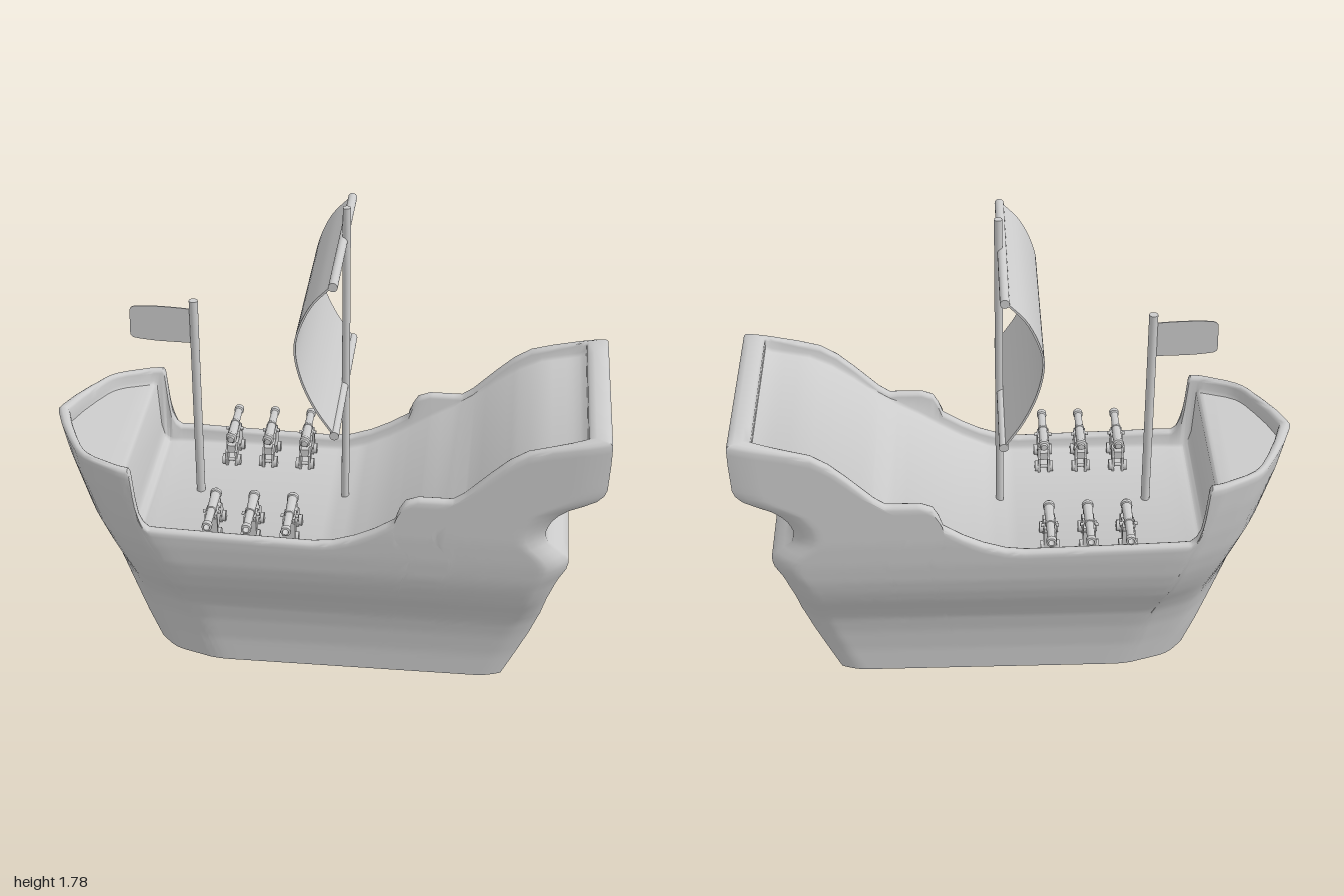
import * as THREE from 'three';
import { toCreasedNormals } from 'three/addons/utils/BufferGeometryUtils.js';

const material = new THREE.MeshStandardMaterial({ color: 0xcccccc });

// Piecewise-linear lookup through [input, output] pairs
function lookup(table) {
  return (v) => {
    if (v <= table[0][0]) return table[0][1];
    for (let i = 1; i < table.length; i++) {
      const [a, p] = table[i - 1], [b, q] = table[i];
      if (v <= b) return p + (q - p) * (v - a) / (b - a);
    }
    return table[table.length - 1][1];
  };
}

// Bow and stern outlines, x by height
const bowX = lookup([[0, -0.63], [0.1, -0.68], [0.2, -0.73], [0.4, -0.825], [0.6, -0.91], [0.8, -0.97], [0.935, -1]]);
const sternX = lookup([[0, 0.67], [0.1, 0.72], [0.2, 0.765], [0.3, 0.8], [0.4, 0.82], [0.5, 0.85], [0.57, 0.885],
  [0.61, 0.885], [0.65, 0.85], [0.69, 0.805], [0.73, 0.795], [0.78, 0.81], [0.83, 0.85], [0.87, 0.93], [0.9, 0.98], [0.94, 0.995], [1.05, 1]]);
// Half width by height, and its narrowing behind the bow
const halfWidth = lookup([[0, 0.24], [0.1, 0.243], [0.2, 0.255], [0.28, 0.272], [0.34, 0.298], [0.4, 0.33], [0.46, 0.35],
  [0.52, 0.364], [0.6, 0.373], [0.7, 0.378], [1.13, 0.374]]);
const bowFullness = lookup([[0, 0], [0.01, 0.1], [0.035, 0.27], [0.075, 0.49], [0.115, 0.68], [0.14, 0.765], [0.17, 0.825],
  [0.22, 0.89], [0.28, 0.97], [0.31, 0.99], [0.34, 1]]);
// Blunt foot of the bow, and rounded corners of the stern
const bowBlunt = lookup([[0, 0.075], [0.1, 0.06], [0.2, 0.035], [0.4, 0]]);
const sternInset = lookup([[0, 0.1], [0.2, 0.15], [0.4, 0.18], [0.6, 0.17], [0.75, 0.1], [0.9, 0.03], [1.13, 0.02]]);
// Rail and deck heights along the ship
const railTable = [[-1, 0.935], [-0.9, 0.922], [-0.672, 0.912], [-0.665, 0.9], [-0.655, 0.79], [-0.645, 0.72],
  [-0.63, 0.685], [-0.61, 0.667], [-0.4, 0.66], [-0.02, 0.65], [0.05, 0.658], [0.13, 0.685], [0.2, 0.72], [0.27, 0.765],
  [0.285, 0.81], [0.305, 0.845], [0.35, 0.862], [0.47, 0.862], [0.51, 0.89], [0.6, 0.98], [0.66, 1.035], [0.72, 1.073], [0.8, 1.095], [1, 1.132]];
const deckTable = [[-1, 0.87], [-0.705, 0.857], [-0.695, 0.845], [-0.685, 0.66], [-0.675, 0.62], [-0.655, 0.603], [0.02, 0.605],
  [0.1, 0.625], [0.2, 0.672], [0.28, 0.722], [0.36, 0.775], [0.44, 0.82], [0.52, 0.875], [0.6, 0.942], [0.68, 1.0], [0.76, 1.04],
  [0.86, 1.06], [0.9, 1.07], [0.92, 1.085]];
const rail = lookup(railTable), deck = lookup(deckTable);

function planHalf(x, y) {
  const fromStern = sternX(y) - x;
  const corner = Math.max(0, 1 - fromStern / 0.1) ** 2;
  return halfWidth(y) * bowFullness(x - bowX(y) + bowBlunt(y)) * (1 - sternInset(y) * corner);
}

function hullGeometry() {
  // Stations: every bend of rail and deck, plus regular steps
  const wanted = [...railTable, ...deckTable].map((p) => p[0]);
  for (let x = -1; x <= 1.001; x += 0.04) wanted.push(x);
  wanted.push(-0.99, -0.965, -0.94, -0.86, 0.98, 0.99);
  wanted.sort((a, b) => a - b);
  const stations = wanted.filter((x, i) => x <= 1 && (i === 0 || x - wanted[i - 1] > 0.003));
  stations[stations.length - 1] = 1;

  // One station: up the outside, over the rounded rail, down to the deck
  const rows = 44;
  const column = (x0) => {
    const top = rail(x0), edge = top - 0.014, points = [];
    const s1 = (x0 - bowX(edge)) / (sternX(edge) - bowX(edge)), s0 = (x0 + 1) / 2;
    for (let r = 0; r <= rows; r++) {
      const v = r / rows, y = edge * v;
      const s = THREE.MathUtils.clamp(s0 + (s1 - s0) * v, 0, 1);
      const x = bowX(y) + (sternX(y) - bowX(y)) * s;
      points.push([x, y, planHalf(x, y)]);
    }
    const outer = points[rows];
    let xi = x0;
    if (x0 > 0.8) xi = 0.8 + (x0 - 0.8) * 0.6;
    if (x0 < -0.8) xi = -0.8 + (x0 + 0.8) * 0.78;
    const zi = outer[2] * 0.9;
    const over = (f, y) => points.push([outer[0] + (xi - outer[0]) * f, y, outer[2] + (zi - outer[2]) * f]);
    over(0.1, top - 0.005);
    over(0.32, top);
    over(0.68, top);
    over(0.9, top - 0.005);
    over(1, top - 0.014);
    over(1, Math.min(deck(xi) + 0.012, top - 0.016));
    points.push([xi, Math.min(deck(xi), top - 0.02), zi * 0.97]);
    return points;
  };

  const side = stations.map(column), last = side[side.length - 1], n = side.length;
  const flip = (c, f) => c.map(([x, y, z]) => [x, y, z * f]);
  const columns = [...side];
  for (let k = 1; k < 8; k++) columns.push(flip(last, 1 - k / 4));
  for (let i = n - 1; i >= 0; i--) columns.push(flip(side[i], -1));

  const count = last.length, total = columns.length, index = [];
  const id = (c, r) => (c % total) * count + r;
  const quad = (a, b, c, d) => index.push(a, b, c, a, c, d);
  for (let c = 0; c < total; c++)
    for (let r = 0; r < count - 1; r++) quad(id(c, r), id(c + 1, r), id(c + 1, r + 1), id(c, r + 1));
  // Deck and flat bottom span from side to side
  for (let c = 0; c < n - 1; c++) {
    const m = total - 1 - c, t = count - 1;
    quad(id(c, t), id(c + 1, t), id(m - 1, t), id(m, t));
    quad(id(c, 0), id(m, 0), id(m - 1, 0), id(c + 1, 0));
  }
  const geometry = new THREE.BufferGeometry();
  geometry.setAttribute('position', new THREE.Float32BufferAttribute(columns.flat(2), 3));
  geometry.setIndex(index);
  return toCreasedNormals(geometry, 0.9);
}

// Thin cloth following a curve, spread along z
function sailGeometry() {
  const curve = new THREE.CatmullRomCurve3([[0.048, 1.665], [-0.02, 1.59], [-0.066, 1.49], [-0.079, 1.42], [-0.06, 1.31],
    [-0.012, 1.195], [0.055, 1.09]].map(([x, y]) => new THREE.Vector3(x, y, 0)));
  const sail = new THREE.BoxGeometry(0.7, 1, 0.007, 1, 32, 1), pos = sail.attributes.position;
  for (let i = 0; i < pos.count; i++) {
    const t = THREE.MathUtils.clamp(0.5 - pos.getY(i), 0, 1), off = pos.getZ(i);
    const p = curve.getPoint(t), d = curve.getTangent(t);
    pos.setXYZ(i, p.x + d.y * off, p.y - d.x * off, pos.getX(i));
  }
  return toCreasedNormals(sail, 0.6);
}

function add(parent, name, geometry, x = 0, y = 0, z = 0) {
  const mesh = new THREE.Mesh(geometry, material);
  mesh.name = name;
  mesh.position.set(x, y, z);
  parent.add(mesh);
}

// Cannon pointing along +z, standing on y = 0 with z measured from the centre line
function createCannon() {
  const cannon = new THREE.Group();
  const profile = [[0, 0], [0.012, 0.002], [0.014, 0.012], [0.021, 0.016], [0.021, 0.03], [0.018, 0.034], [0.016, 0.12],
    [0.018, 0.122], [0.018, 0.132], [0.015, 0.134], [0.014, 0.215], [0.018, 0.22], [0.018, 0.238], [0.011, 0.24], [0.01, 0.2], [0, 0.2]];
  const barrel = new THREE.LatheGeometry(profile.map(([r, y]) => new THREE.Vector2(r, y)), 16);
  barrel.rotateX(Math.PI / 2);
  add(cannon, 'barrel', toCreasedNormals(barrel, 0.6), 0, 0.115, 0.17);

  // Arched, stepped cheeks
  const cheek = new THREE.Shape();
  cheek.moveTo(0.175, 0);
  cheek.lineTo(0.205, 0);
  cheek.absarc(0.245, 0.02, 0.032, Math.PI, 0, true);
  cheek.lineTo(0.285, 0);
  cheek.lineTo(0.315, 0);
  cheek.lineTo(0.315, 0.105);
  cheek.lineTo(0.255, 0.105);
  cheek.lineTo(0.245, 0.085);
  cheek.lineTo(0.205, 0.085);
  cheek.lineTo(0.175, 0.06);
  const cheekGeometry = new THREE.ExtrudeGeometry(cheek, { depth: 0.009, bevelEnabled: false, curveSegments: 8 });
  cheekGeometry.rotateY(-Math.PI / 2);
  for (const x of [-0.013, 0.022]) add(cannon, 'carriageCheek', cheekGeometry, x);
  add(cannon, 'carriageBed', new THREE.BoxGeometry(0.03, 0.03, 0.13), 0, 0.07, 0.245);
  add(cannon, 'carriageFront', new THREE.BoxGeometry(0.046, 0.08, 0.014), 0, 0.05, 0.312);

  const wheel = new THREE.CylinderGeometry(0.02, 0.02, 0.012, 14).rotateZ(Math.PI / 2);
  const axle = new THREE.CylinderGeometry(0.007, 0.007, 0.064, 10).rotateZ(Math.PI / 2);
  for (const z of [0.19, 0.3]) {
    add(cannon, 'axle', axle, 0, 0.02, z);
    for (const x of [-0.028, 0.028]) add(cannon, 'wheel', wheel, x, 0.02, z);
  }
  add(cannon, 'trunnion', axle, 0, 0.1, 0.285);
  return cannon;
}

export function createModel() {
  const ship = new THREE.Group();
  ship.name = 'sailingShip';
  add(ship, 'hull', hullGeometry());

  // Masts
  const mast = (name, x, top, r) => add(ship, name, new THREE.CylinderGeometry(r, r, top - 0.6, 20), x, (top + 0.6) / 2, 0);
  mast('mainMast', 0.062, 1.785, 0.014);
  mast('flagMast', -0.479, 1.4, 0.016);

  // Sail bulging towards the bow between two spars
  add(ship, 'sail', sailGeometry());
  const spar = new THREE.CylinderGeometry(0.016, 0.016, 0.705, 16).rotateX(Math.PI / 2);
  add(ship, 'upperSpar', spar, 0.05, 1.661, 0);
  add(ship, 'lowerSpar', spar, 0.055, 1.09, 0);

  // Flag streaming towards the bow
  const flag = new THREE.Shape();
  flag.moveTo(-0.48, 1.23);
  flag.lineTo(-0.6, 1.232);
  flag.quadraticCurveTo(-0.66, 1.235, -0.695, 1.241);
  flag.quadraticCurveTo(-0.711, 1.245, -0.711, 1.26);
  flag.lineTo(-0.709, 1.35);
  flag.quadraticCurveTo(-0.707, 1.364, -0.69, 1.368);
  flag.quadraticCurveTo(-0.62, 1.376, -0.48, 1.365);
  add(ship, 'flag', new THREE.ExtrudeGeometry(flag, { depth: 0.004, bevelEnabled: false }), 0, 0, -0.002);

  // Three cannons on each side
  for (const x of [-0.39, -0.25, -0.11])
    for (const turn of [0, Math.PI]) {
      const cannon = createCannon();
      cannon.name = turn ? 'rearSideCannon' : 'frontSideCannon';
      cannon.position.set(x, 0.604, 0);
      cannon.rotation.y = turn;
      ship.add(cannon);
    }
  return ship;
}
